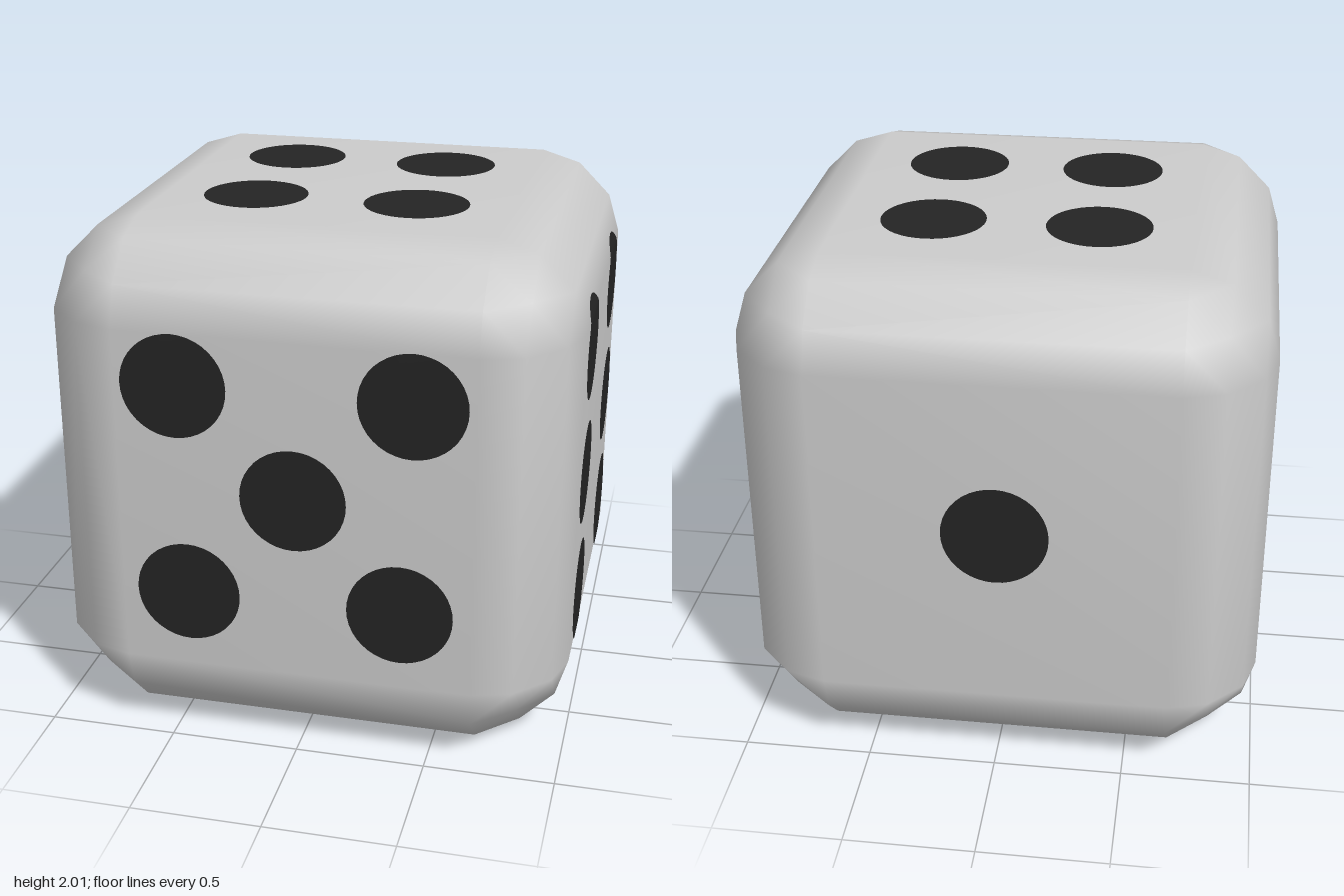
import * as THREE from 'three';
import { mergeVertices } from 'three/addons/utils/BufferGeometryUtils.js';
import { ConvexGeometry } from 'three/addons/geometries/ConvexGeometry.js';

const FLAT = 0.667;                       // half width of each flat face
const BEVEL = [0, 0.155, 0.286, 0.333];   // offsets across the three-step bevel
const PIP_RADIUS = 0.2;

// Cube with three-step rounded edges and corners, shaded smooth
function bodyGeometry() {
  const points = [];
  for (const sx of [-1, 1]) for (const sy of [-1, 1]) for (const sz of [-1, 1]) {
    for (let i = 0; i <= 3; i++) for (let j = 0; i + j <= 3; j++) {
      const k = 3 - i - j;
      points.push(new THREE.Vector3(
        sx * (FLAT + BEVEL[i]), sy * (FLAT + BEVEL[j]), sz * (FLAT + BEVEL[k])));
    }
  }
  const hull = new ConvexGeometry(points);
  hull.deleteAttribute('normal');
  const geometry = mergeVertices(hull, 1e-4);
  geometry.computeVertexNormals();
  return geometry;
}

// Thin painted disc that follows the bevel where it runs past the flat face
function pipGeometry(u, v) {
  const geometry = new THREE.RingGeometry(0, PIP_RADIUS, 40, 12);
  geometry.translate(u, v, 0);
  const p = geometry.attributes.position;
  const slope = (BEVEL[3] - BEVEL[2]) / BEVEL[1];
  for (let i = 0; i < p.count; i++) {
    const over = Math.max(Math.abs(p.getX(i)), Math.abs(p.getY(i))) - FLAT;
    p.setZ(i, 1.004 - Math.max(0, over) * slope);
  }
  geometry.computeVertexNormals();
  return geometry;
}

// Each face: name, rotation about x and y, pip centres seen from outside
const H = Math.PI / 2;
const FACES = [
  ['frontFive', 0, 0, [[-0.44, 0.47], [0.44, 0.47], [0, 0.06], [-0.41, -0.36], [0.4, -0.36]]],
  ['leftSix', 0, H, [[-0.41, 0.53], [0.405, 0.53], [-0.415, 0.02], [0.41, 0.02], [-0.42, -0.48], [0.415, -0.48]]],
  ['topFour', -H, 0, [[-0.315, 0.31], [0.31, 0.31], [-0.315, -0.305], [0.31, -0.305]]],
  ['backOne', 0, 2 * H, [[0.01, 0.055]]],
  ['rightTwo', 0, -H, [[0.27, 0.27], [-0.24, -0.28]]],
  ['bottomThree', H, 0, [[0.39, -0.4], [0.01, -0.03], [-0.37, 0.34]]],
];

export function createModel() {
  const bodyGrey = new THREE.MeshStandardMaterial({ color: 0xcccccc });
  bodyGrey.name = 'bodyGrey';
  const pipBlack = new THREE.MeshStandardMaterial({ color: 0x242424 });
  pipBlack.name = 'pipBlack';

  const model = new THREE.Group();
  model.name = 'die';

  const body = new THREE.Mesh(bodyGeometry(), bodyGrey);
  body.name = 'body';
  body.position.y = 1;
  model.add(body);

  for (const [name, rx, ry, pips] of FACES) {
    const face = new THREE.Group();
    face.name = name;
    face.position.y = 1;
    face.rotation.set(rx, ry, 0);
    for (const [u, v] of pips) {
      const pip = new THREE.Mesh(pipGeometry(u, v), pipBlack);
      pip.name = 'pip';
      face.add(pip);
    }
    model.add(face);
  }
  return model;
}
